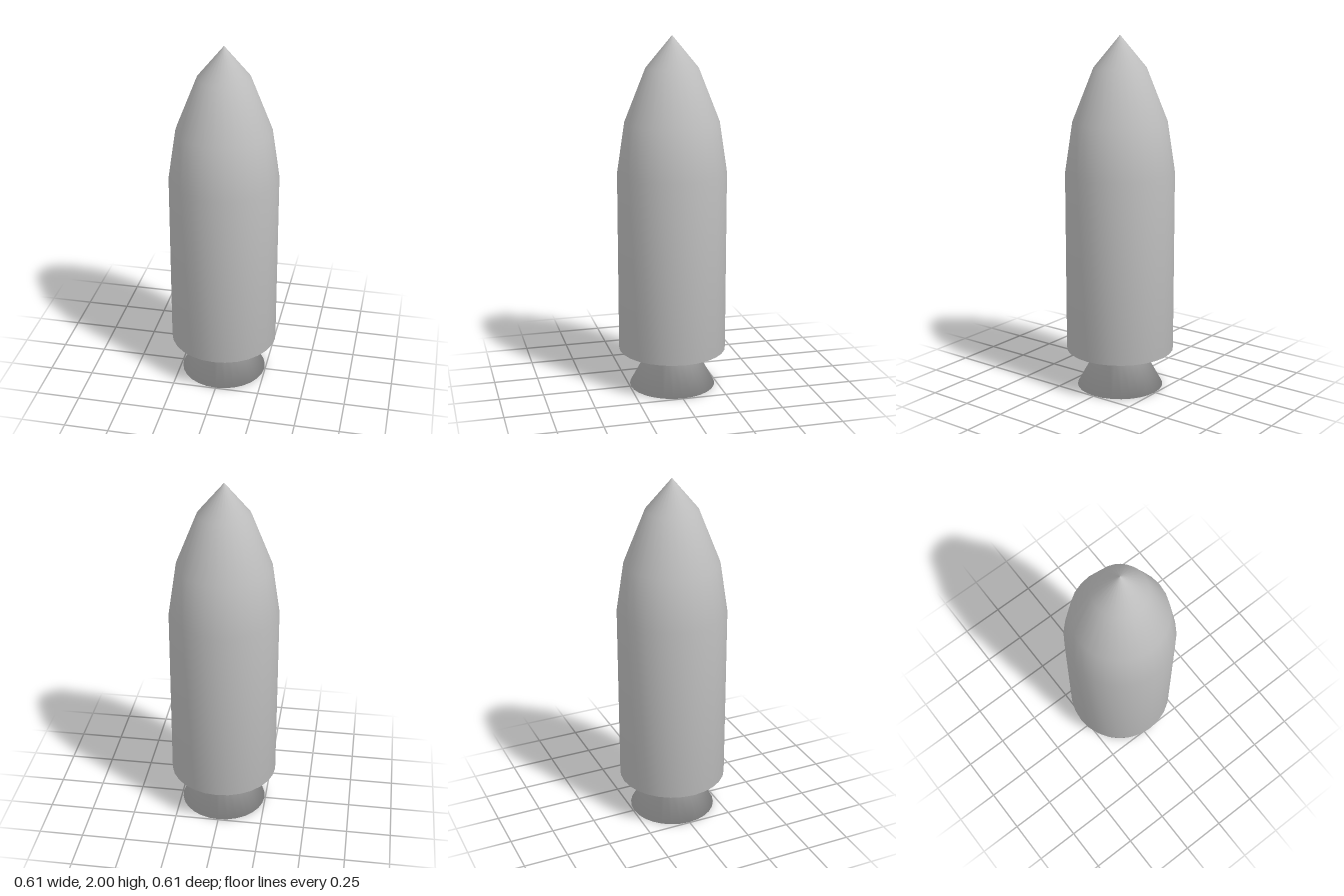
import * as THREE from 'three';

const SIDES = 28;

// Outline from the base centre up to the tip: [radius, height]
const PROFILE = [
  [0, 0], [0.245, 0], [0.143, 0.187], [0.305, 0.222],
  [0.305, 1.245], [0.262, 1.53], [0.145, 1.825], [0, 2],
];

export function createModel() {
  const hullGrey = new THREE.MeshStandardMaterial({ color: 0xc0c0c0 });
  hullGrey.name = 'hull grey';

  const group = new THREE.Group();
  group.name = 'rocket';

  // One smooth lathe supplies the vertices and normals shared by all parts
  const rows = PROFILE.length;
  const lathe = new THREE.LatheGeometry(PROFILE.map(([r, y]) => new THREE.Vector2(r, y)), SIDES);
  lathe.normalizeNormals();

  const addPart = (name, index) => {
    const geometry = new THREE.BufferGeometry();
    geometry.setAttribute('position', lathe.attributes.position);
    geometry.setAttribute('normal', lathe.attributes.normal);
    geometry.setIndex(index);
    const mesh = new THREE.Mesh(geometry, hullGrey);
    mesh.name = name;
    group.add(mesh);
  };

  // Walls between two rows of the outline
  const walls = (from, to) => {
    const index = [];
    for (let i = 0; i < SIDES; i++) {
      for (let j = from; j < to; j++) {
        const a = i * rows + j, b = a + rows;
        index.push(a, b, a + 1, b + 1, a + 1, b);
      }
    }
    return index;
  };

  // Flat base closing the nozzle, sharing the soft normals of its rim
  const base = [];
  for (let i = 1; i < SIDES - 1; i++) base.push(1, (i + 1) * rows + 1, i * rows + 1);

  addPart('nozzleBase', base);
  addPart('nozzle', walls(1, 2));
  addPart('bodyUnderside', walls(2, 3));
  addPart('body', walls(3, 4));
  addPart('noseCone', walls(4, 7));
  return group;
}
